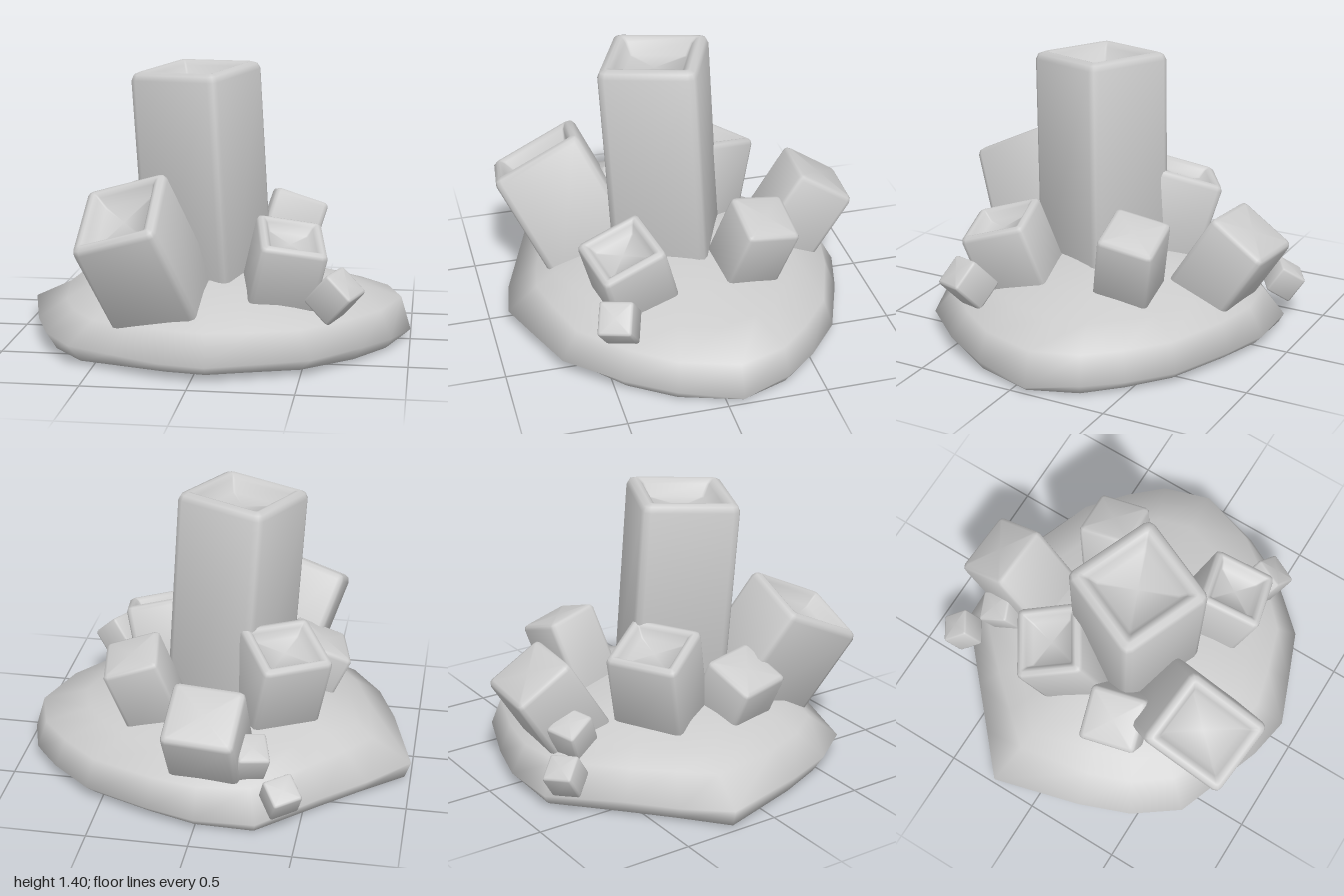
import * as THREE from 'three';

const stone = new THREE.MeshStandardMaterial({ color: 0xcccccc });
stone.name = 'pale grey stone';

// Averages unit face normals at every vertex, so bevels shade softly into the faces.
function softNormals(points, index) {
  const normals = points.map(() => new THREE.Vector3());
  const face = new THREE.Vector3();
  for (let i = 0; i < index.length; i += 3) {
    const corners = index.slice(i, i + 3);
    THREE.Triangle.getNormal(...corners.map((c) => points[c]), face);
    corners.forEach((c) => normals[c].add(face));
  }
  return normals.flatMap((n) => n.normalize().toArray());
}

// Skins a stack of equal-length rings, bottom to top, and closes both ends.
function loft(rings, bottomCenter, topCenter) {
  const n = rings[0].length;
  const points = [...rings.flat(), bottomCenter, topCenter];
  const index = [];
  const last = (rings.length - 1) * n;
  const bottom = rings.length * n;
  for (let j = 0; j < n; j++) {
    const k = (j + 1) % n;
    for (let i = 0; i < rings.length - 1; i++) {
      const a = i * n + j, b = i * n + k;
      index.push(a, a + n, b, b, a + n, b + n);
    }
    index.push(bottom, j, k, bottom + 1, last + k, last + j);
  }
  const geometry = new THREE.BufferGeometry().setFromPoints(points);
  geometry.setIndex(index);
  geometry.setAttribute('normal',
    new THREE.Float32BufferAttribute(softNormals(points, index), 3));
  return geometry;
}

// Rectangle with rounded corners at height y.
function roundedRing(halfW, halfD, radius, y) {
  const ring = [];
  for (let c = 0; c < 4; c++) {
    const sx = c === 0 || c === 3 ? 1 : -1;
    const sz = c < 2 ? 1 : -1;
    for (let s = 0; s <= 2; s++) {
      const a = (c + s / 2) * Math.PI / 2;
      ring.push(new THREE.Vector3(
        sx * (halfW - radius) + radius * Math.cos(a), y,
        sz * (halfD - radius) + radius * Math.sin(a)));
    }
  }
  return ring;
}

// Bevelled block hanging down its axis from the centre of its top face.
function crystal({ name, top, axis, size, spin = 0, hollow = false }) {
  const [w, length, d] = size;
  const b = Math.min(w, d) * 0.08;
  const ring = (inset, y) =>
    roundedRing(w / 2 - inset, d / 2 - inset, Math.max(b - inset * 0.6, b * 0.3), y);
  const rings = [
    ring(b, -length), ring(b * 0.3, -length + b * 0.3), ring(0, -length + b),
    ring(0, -b), ring(b * 0.3, -b * 0.3), ring(b, 0),
  ];
  const depth = hollow ? Math.min(w, d) * 0.17 : 0;
  if (hollow) {
    rings.push(ring(b * 1.4, -b * 0.1), ring(b * 1.9, -b * 0.6), ring(b * 2.6, -depth));
  }
  const geometry = loft(rings, new THREE.Vector3(0, -length, 0), new THREE.Vector3(0, -depth, 0));
  const mesh = new THREE.Mesh(geometry, stone);
  mesh.name = name;
  const up = new THREE.Vector3(0, 1, 0);
  mesh.quaternion
    .setFromUnitVectors(up, new THREE.Vector3(...axis).normalize())
    .multiply(new THREE.Quaternion().setFromAxisAngle(up, THREE.MathUtils.degToRad(spin)));
  mesh.position.set(...top);
  return mesh;
}

// Irregular mound: rim points as x, z, rim height, shoulder scale, foot scale.
function mound() {
  const rim = [
    [1.0, -0.08, 0.03, 0.95, 0.98], [0.91, 0.23, 0.06, 0.94, 0.97], [0.78, 0.47, 0.08, 0.9, 0.94],
    [0.55, 0.72, 0.08, 0.88, 0.9], [0.3, 0.82, 0.08, 0.86, 0.88], [0.07, 0.91, 0.08, 0.83, 0.87],
    [-0.15, 0.87, 0.08, 0.83, 0.88], [-0.4, 0.78, 0.09, 0.84, 0.9], [-0.62, 0.7, 0.1, 0.84, 0.92],
    [-0.78, 0.48, 0.1, 0.84, 0.94], [-0.88, 0.22, 0.1, 0.84, 0.95], [-1.0, -0.23, 0.1, 0.8, 0.97],
    [-0.8, -0.41, 0.08, 0.83, 0.96], [-0.6, -0.59, 0.08, 0.86, 0.96], [-0.3, -0.86, 0.06, 0.88, 0.97],
    [0.0, -0.87, 0.06, 0.91, 0.95], [0.25, -0.8, 0.06, 0.93, 0.94], [0.58, -0.67, 0.06, 0.94, 0.94],
    [0.78, -0.5, 0.06, 0.94, 0.95], [0.92, -0.33, 0.06, 0.95, 0.97],
  ];
  const at = (scale, y) => rim.map(([x, z]) => new THREE.Vector3(x * scale, y, z * scale));
  const rings = [
    at(0.8, 0.008),
    rim.map(([x, z, , , f]) => new THREE.Vector3(x * f, 0.012, z * f)),
    rim.map(([x, z, y]) => new THREE.Vector3(x, y, z)),
    rim.map(([x, z, , s]) => new THREE.Vector3(x * s, 0.2, z * s)),
    at(0.72, 0.265), at(0.5, 0.33), at(0.25, 0.375),
  ];
  const mesh = new THREE.Mesh(
    loft(rings, new THREE.Vector3(0, 0, 0), new THREE.Vector3(0, 0.39, 0)), stone);
  mesh.name = 'rockBase';
  return mesh;
}

export function createModel() {
  const group = new THREE.Group();
  group.name = 'crystalCluster';
  group.add(mound());

  const crystals = [
    { name: 'tallCrystal', top: [-0.085, 1.385, 0.093], axis: [-0.055, 1, 0.045],
      size: [0.49, 1.2, 0.49], spin: -23, hollow: true },
    { name: 'frontCrystal', top: [-0.37, 0.76, 0.668], axis: [-0.31, 0.87, 0.43],
      size: [0.42, 0.67, 0.49], spin: -3, hollow: true },
    { name: 'backRightCrystal', top: [-0.362, 0.735, -0.268], axis: [-0.2, 1, -0.25],
      size: [0.37, 0.55, 0.35], spin: 32, hollow: true },
    { name: 'frontLeftCrystal', top: [0.43, 0.61, 0.392], axis: [0.22, 0.9, 0.25],
      size: [0.33, 0.42, 0.345], spin: 12, hollow: true },
    { name: 'backLeftCrystal', top: [0.408, 0.66, -0.353], axis: [0.28, 0.9, -0.22],
      size: [0.285, 0.45, 0.285], spin: 7 },
    { name: 'backCrystal', top: [-0.035, 0.595, -0.785], axis: [0, 0.85, -0.54],
      size: [0.355, 0.46, 0.33], spin: -4 },
    { name: 'sideCrystal', top: [-0.5, 0.545, 0.2], axis: [-0.42, 0.9, 0.05],
      size: [0.285, 0.42, 0.3], spin: 14 },
    { name: 'smallLeftCrystal', top: [0.7, 0.4, 0.485], axis: [0.6, 0.75, 0.35],
      size: [0.17, 0.2, 0.17], spin: -22 },
    { name: 'smallBackCrystal', top: [-0.26, 0.39, -0.69], axis: [-0.25, 0.85, -0.35],
      size: [0.16, 0.2, 0.17], spin: 20 },
    { name: 'looseChip', top: [-0.43, 0.265, -0.845], axis: [-0.2, 0.8, -0.5],
      size: [0.15, 0.15, 0.145], spin: 35 },
  ];
  crystals.forEach((c) => group.add(crystal(c)));
  return group;
}
